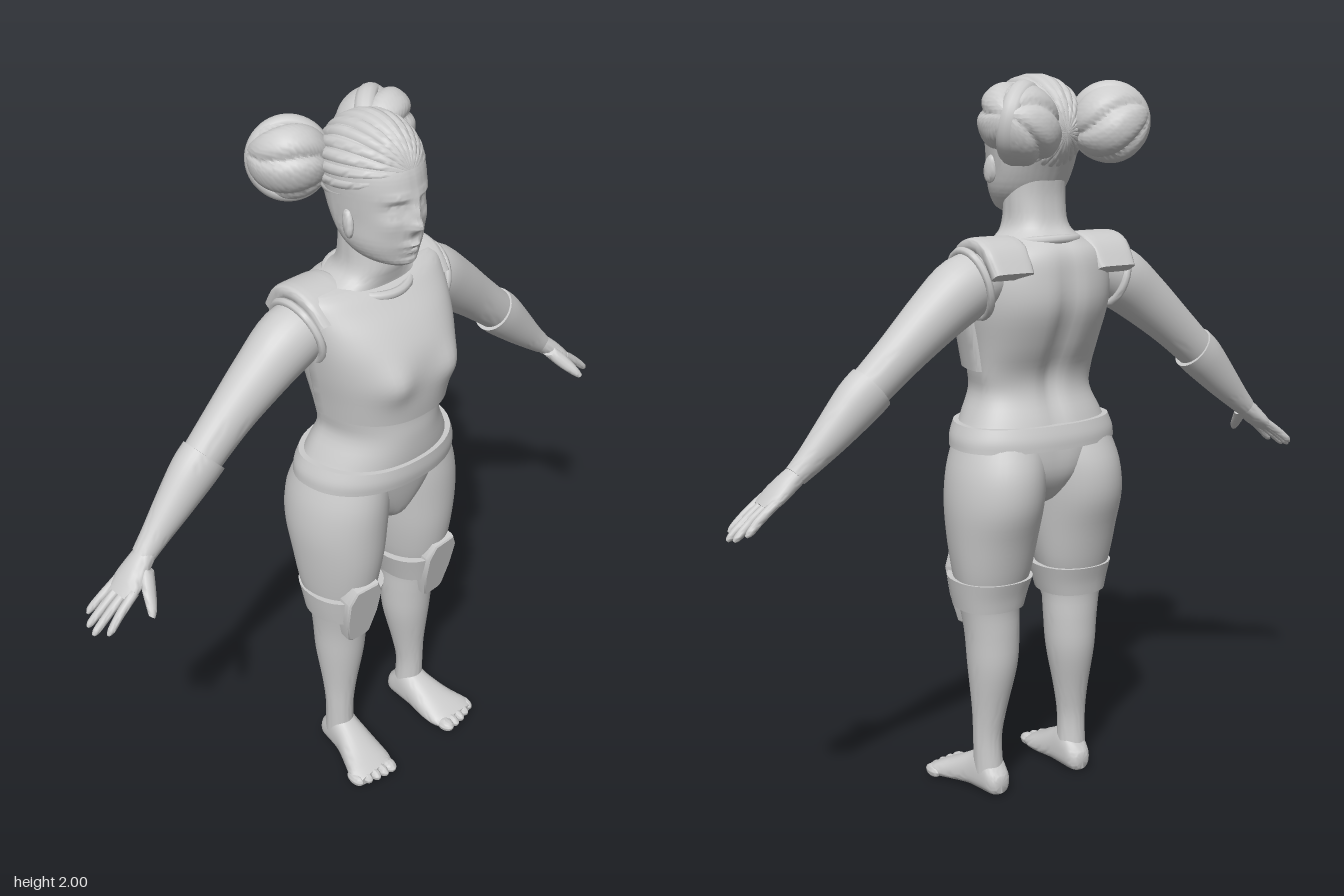
import * as THREE from 'three';
import { toCreasedNormals } from 'three/addons/utils/BufferGeometryUtils.js';

const material = new THREE.MeshStandardMaterial({ color: 0xcccccc, roughness: 0.8 });

// Smoothly resample rows of numbers
function resample(rows, steps) {
  const out = [];
  for (let i = 0; i < rows.length - 1; i++) {
    const a = rows[Math.max(i - 1, 0)], b = rows[i], c = rows[i + 1], d = rows[Math.min(i + 2, rows.length - 1)];
    for (let s = 0; s < steps; s++) {
      const t = s / steps;
      out.push(b.map((_, k) => b[k] + 0.5 * t * (c[k] - a[k] + t * (2 * a[k] - 5 * b[k] + 4 * c[k] - d[k]
        + t * (3 * (b[k] - c[k]) + d[k] - a[k])))));
    }
  }
  out.push(rows[rows.length - 1]);
  return out;
}

// Loft through rows [x, y, z, halfWidth, depthFront, depthBack], listed bottom to top unless
// the rings follow the path; power < 1 makes boxier rings
function loft(rows, { segs = 32, steps = 4, power = 1, follow = false, rule } = {}) {
  const path = resample(rows, steps), pos = [], index = [];
  const n = path.length, bend = v => Math.sign(v) * Math.abs(v) ** power;
  path.forEach(([x, y, z, w, f, b], i) => {
    const p = path[Math.max(i - 1, 0)], q = path[Math.min(i + 1, n - 1)];
    const len = Math.hypot(q[0] - p[0], q[1] - p[1]) || 1;
    const ux = follow ? (q[1] - p[1]) / len : 1, uy = follow ? -(q[0] - p[0]) / len : 0;
    for (let j = 0; j < segs; j++) {
      const a = j / segs * Math.PI * 2, c = bend(Math.cos(a)) * w, s = bend(Math.sin(a));
      const v = new THREE.Vector3(x + ux * c, y + uy * c, z + s * (s > 0 ? f : b));
      if (rule) rule(v, s);
      pos.push(v.x, v.y, v.z);
      const k = i * segs, j2 = (j + 1) % segs;
      if (i < n - 1) index.push(k + j, k + segs + j, k + j2, k + j2, k + segs + j, k + segs + j2);
    }
  });
  const end = n * segs;
  pos.push(...path[0].slice(0, 3), ...path[n - 1].slice(0, 3));
  for (let j = 0; j < segs; j++) {
    const j2 = (j + 1) % segs, k = (n - 1) * segs;
    index.push(end, j, j2, end + 1, k + j2, k + j);
  }
  const g = new THREE.BufferGeometry();
  g.setAttribute('position', new THREE.Float32BufferAttribute(pos, 3));
  g.setIndex(index);
  return g;
}

// Limb whose rings follow a path: rows [x, y, z, thickness, depth]
const limb = (rows, opts) => loft(rows.map(r => [...r, r[4]]), { follow: true, ...opts });

// Mirror across x = 0 keeping the faces outward
function mirrored(geo) {
  const g = geo.index ? geo.toNonIndexed() : geo.clone(), p = g.attributes.position.array;
  for (let i = 0; i < p.length; i += 9) {
    for (let k = 0; k < 3; k++) [p[i + 3 + k], p[i + 6 + k]] = [p[i + 6 + k], p[i + 3 + k]];
    for (let k = 0; k < 9; k += 3) p[i + k] *= -1;
  }
  return g;
}

const ball = (x, y, z, rx, ry, rz) => new THREE.SphereGeometry(1, 20, 14).scale(rx, ry, rz).translate(x, y, z);

// Sphere with strand ridges running from pole to pole
function ridgedBall(lobes, depth, twist) {
  const g = new THREE.SphereGeometry(1, 96, 40), p = g.attributes.position, v = new THREE.Vector3();
  for (let i = 0; i < p.count; i++) {
    v.fromBufferAttribute(p, i);
    const r = Math.hypot(v.x, v.z), a = Math.atan2(v.z, v.x) + twist * v.y;
    v.multiplyScalar(1 - depth * r * (1 - Math.abs(Math.sin(a * lobes / 2))) ** 2);
    p.setXYZ(i, v.x, v.y, v.z);
  }
  return g;
}

export function createModel() {
  const model = new THREE.Group();
  const add = (name, geo, crease = 0.9) => {
    const bare = geo.index ? geo.toNonIndexed() : geo;
    const mesh = new THREE.Mesh(toCreasedNormals(bare, crease), material);
    mesh.name = name;
    model.add(mesh);
  };
  const pair = (name, geo, crease) => {
    add('left' + name, geo, crease);
    add('right' + name, mirrored(geo), crease);
  };
  const gauss = (x, y, cx, cy, sx, sy) => Math.exp(-(((x - cx) / sx) ** 2) - ((y - cy) / sy) ** 2);

  // Torso and neck, with a groove down the spine
  add('torso', loft([
    [0, 0.84, 0.03, 0.03, 0.07, 0.06], [0, 0.87, 0.02, 0.06, 0.11, 0.1], [0, 0.94, 0, 0.15, 0.155, 0.125],
    [0, 1.03, 0, 0.222, 0.175, 0.13],
    [0, 1.09, 0, 0.205, 0.185, 0.115], [0, 1.16, 0, 0.172, 0.188, 0.087], [0, 1.22, 0, 0.178, 0.185, 0.09],
    [0, 1.3, 0, 0.19, 0.19, 0.13], [0, 1.4, 0, 0.208, 0.18, 0.168], [0, 1.49, 0, 0.21, 0.12, 0.165],
    [0, 1.545, 0, 0.185, 0.075, 0.15], [0, 1.58, 0, 0.115, 0.075, 0.115], [0, 1.615, 0, 0.088, 0.08, 0.085],
    [0, 1.68, 0, 0.085, 0.07, 0.072], [0, 1.74, 0, 0.085, 0.07, 0.075]], {
    segs: 64, power: 0.9,
    rule: (v, s) => { if (s < 0) v.z += 0.022 * gauss(v.x, v.y, 0, 1.3, 0.03, 0.22); }
  }));

  // Chest armour with soft bust relief
  add('chestArmour', loft([
    [0, 1.225, 0, 0.188, 0.203, 0.03], [0, 1.28, 0, 0.197, 0.21, 0.03], [0, 1.35, 0, 0.21, 0.212, 0.03],
    [0, 1.42, 0, 0.22, 0.197, 0.03], [0, 1.48, 0, 0.226, 0.16, 0.03], [0, 1.53, 0, 0.228, 0.112, 0.03],
    [0, 1.558, 0, 0.222, 0.08, 0.03], [0, 1.572, 0, 0.2, 0.05, 0.03]], {
    segs: 64, power: 0.88,
    rule: (v, s) => { if (s > 0) v.z += 0.026 * s * gauss(Math.abs(v.x), v.y, 0.1, 1.35, 0.05, 0.055); }
  }));
  add('collar', new THREE.TorusGeometry(0.108, 0.013, 8, 40).rotateX(Math.PI / 2 + 0.14).translate(0, 1.56, -0.01));

  // Shoulder straps ending on the upper back
  pair('ShoulderStrap', limb([
    [-0.055, 1.505, 0.165, 0.02, 0.06], [-0.015, 1.55, 0.165, 0.02, 0.066], [0.04, 1.567, 0.165, 0.02, 0.068],
    [0.1, 1.55, 0.165, 0.02, 0.066], [0.142, 1.49, 0.165, 0.02, 0.06]],
  { power: 0.4 }).rotateY(Math.PI / 2));
  pair('ArmholeTrim', new THREE.TorusGeometry(0.09, 0.011, 8, 32).rotateY(Math.PI / 2)
    .rotateZ(-0.25).translate(0.222, 1.465, -0.03));

  // Belt
  add('belt', loft([[0, 1.015, 0, 0.243, 0.192, 0.145], [0, 1.045, 0, 0.24, 0.197, 0.143],
    [0, 1.08, 0, 0.226, 0.196, 0.132]], { segs: 56, power: 0.9 }));

  // Legs
  pair('Leg', loft([
    [0.145, 0.06, 0.02, 0.042, 0.045, 0.045], [0.147, 0.16, 0.022, 0.041, 0.043, 0.04],
    [0.142, 0.25, 0.018, 0.05, 0.052, 0.048], [0.135, 0.38, 0.012, 0.07, 0.075, 0.07],
    [0.135, 0.48, 0.01, 0.077, 0.088, 0.072], [0.14, 0.57, 0.01, 0.085, 0.105, 0.075],
    [0.137, 0.66, 0, 0.107, 0.138, 0.092], [0.135, 0.76, 0, 0.122, 0.155, 0.12],
    [0.133, 0.86, 0, 0.13, 0.162, 0.152], [0.125, 0.95, 0, 0.128, 0.165, 0.152],
    [0.11, 1.03, 0, 0.118, 0.16, 0.125]], { segs: 40 }));
  pair('KneeBand', loft([[0.14, 0.56, 0.02, 0.096, 0.108, 0.092], [0.138, 0.6, 0.02, 0.105, 0.116, 0.1],
    [0.135, 0.645, 0.02, 0.115, 0.125, 0.114]], { power: 0.9 }));

  // Knee pad: tapered plate, leaning forward at the top
  const pad = new THREE.Shape([[-0.035, 0.1], [0.035, 0.1], [0.054, 0.06], [0.05, -0.02], [0.034, -0.095],
    [0.024, -0.103], [-0.024, -0.103], [-0.034, -0.095], [-0.05, -0.02], [-0.054, 0.06]].map(p => new THREE.Vector2(...p)));
  pair('KneePad', new THREE.ExtrudeGeometry(pad, {
    depth: 0.042, bevelEnabled: true, bevelThickness: 0.014, bevelSize: 0.006, bevelSegments: 2
  }).rotateX(0.2).rotateY(0.06).translate(0.147, 0.6, 0.08), 0.5);

  // Feet, lofted heel to toe and turned slightly out
  pair('Foot', loft([
    [0.142, -0.042, -0.035, 0.02, 0.025, 0.025], [0.142, -0.025, -0.04, 0.036, 0.039, 0.04],
    [0.144, 0.02, -0.045, 0.044, 0.045, 0.085], [0.148, 0.07, -0.04, 0.051, 0.038, 0.068],
    [0.158, 0.13, -0.025, 0.065, 0.025, 0.05], [0.17, 0.18, -0.02, 0.075, 0.02, 0.03],
    [0.173, 0.21, -0.018, 0.066, 0.018, 0.016]], { power: 0.85 }).rotateX(Math.PI / 2));
  for (let i = 0; i < 5; i++) {
    pair('Toe' + (i + 1), ball(0.124 + i * 0.027, 0.018, 0.208 - i * i * 0.0015, i ? 0.016 : 0.022, 0.018, 0.032));
  }

  // Arms: upper sleeve and wider forearm guard
  pair('UpperArm', limb([
    [0.15, 1.49, -0.03, 0.07, 0.075], [0.245, 1.457, -0.034, 0.086, 0.083], [0.34, 1.39, -0.038, 0.077, 0.072],
    [0.45, 1.3, -0.043, 0.064, 0.058], [0.56, 1.205, -0.043, 0.056, 0.05]]));
  pair('ForearmGuard', limb([
    [0.53, 1.228, -0.043, 0.066, 0.058], [0.57, 1.193, -0.043, 0.065, 0.056], [0.64, 1.125, -0.042, 0.052, 0.046],
    [0.7, 1.068, -0.04, 0.039, 0.036], [0.745, 1.028, -0.037, 0.03, 0.031]]));

  // Hands
  pair('Palm', limb([
    [0.73, 1.04, -0.036, 0.026, 0.029], [0.765, 1.012, -0.032, 0.027, 0.038],
    [0.8, 0.983, -0.028, 0.023, 0.048], [0.832, 0.957, -0.027, 0.015, 0.046]], { segs: 24 }));
  [[0.9, 0.905, -0.075], [0.92, 0.89, -0.047], [0.925, 0.885, -0.017], [0.905, 0.895, 0.018]].forEach(([x, y, z], i) => {
    const z0 = -0.062 + i * 0.024;
    pair('Finger' + (i + 1), limb([[0.81, 0.975, z0, 0.013, 0.013],
      [(0.815 + x) / 2, (0.978 + y) / 2, (z0 + z) / 2, 0.012, 0.012],
      [x - 0.012, y + 0.011, z, 0.01, 0.01], [x, y, z, 0.004, 0.004]], { segs: 10 }));
  });
  pair('Thumb', limb([[0.755, 1.01, -0.01, 0.02, 0.022], [0.778, 0.978, 0.025, 0.02, 0.022],
    [0.796, 0.952, 0.056, 0.015, 0.018], [0.808, 0.935, 0.073, 0.009, 0.01]], { segs: 12 }));

  // Head with facial relief: [x, y, spreadX, spreadY, push]
  const relief = [[0, 1.79, 0.014, 0.032, 0.018], [0, 1.754, 0.019, 0.016, 0.024], [0.045, 1.8, 0.026, 0.016, -0.02],
    [0.046, 1.797, 0.019, 0.009, 0.015], [0.045, 1.833, 0.032, 0.01, 0.007], [0.065, 1.76, 0.025, 0.025, 0.007],
    [0, 1.704, 0.027, 0.007, 0.013], [0, 1.686, 0.022, 0.007, 0.013], [0, 1.655, 0.025, 0.014, 0.008]];
  add('head', loft([
    [0, 1.635, 0.08, 0.03, 0.045, 0.05], [0, 1.65, 0.06, 0.063, 0.083, 0.07], [0, 1.675, 0.04, 0.088, 0.108, 0.08],
    [0, 1.71, 0.02, 0.104, 0.135, 0.085], [0, 1.76, 0, 0.112, 0.158, 0.09], [0, 1.81, 0, 0.118, 0.158, 0.115],
    [0, 1.86, 0, 0.123, 0.152, 0.13], [0, 1.9, 0, 0.118, 0.139, 0.128], [0, 1.945, 0, 0.096, 0.108, 0.105],
    [0, 1.975, 0, 0.06, 0.065, 0.07], [0, 1.99, 0, 0.01, 0.01, 0.01]], {
    segs: 96, steps: 7,
    rule: (v, s) => {
      if (s <= 0) return;
      const x = Math.abs(v.x), y = v.y;
      for (const [cx, cy, sx, sy, d] of relief) v.z += d * s * gauss(x, y, cx, cy, sx, sy);
    }
  }), 1.2);
  pair('Ear', ball(0, 0, 0, 0.012, 0.038, 0.022).rotateX(-0.2).rotateY(0.3).translate(0.112, 1.755, 0.04));

  // Combed-back hair and two coiled buns
  add('hair', ridgedBall(24, 0.07, 0).rotateX(Math.PI / 2).scale(0.128, 0.132, 0.146)
    .rotateX(-0.12).translate(0, 1.868, -0.002), 1.2);
  const axis = new THREE.Quaternion().setFromUnitVectors(new THREE.Vector3(0, 1, 0),
    new THREE.Vector3(0.75, 0.25, -0.6).normalize());
  pair('Bun', ridgedBall(5, 0.16, 0.4).scale(0.1, 0.105, 0.116).applyQuaternion(axis)
    .translate(0.142, 1.876, -0.14), 1.2);
  pair('BunBand', new THREE.TorusGeometry(0.088, 0.02, 12, 48).scale(1, 1, 1.4).rotateY(0.5)
    .applyQuaternion(axis).translate(0.142, 1.876, -0.14));

  return model;
}
